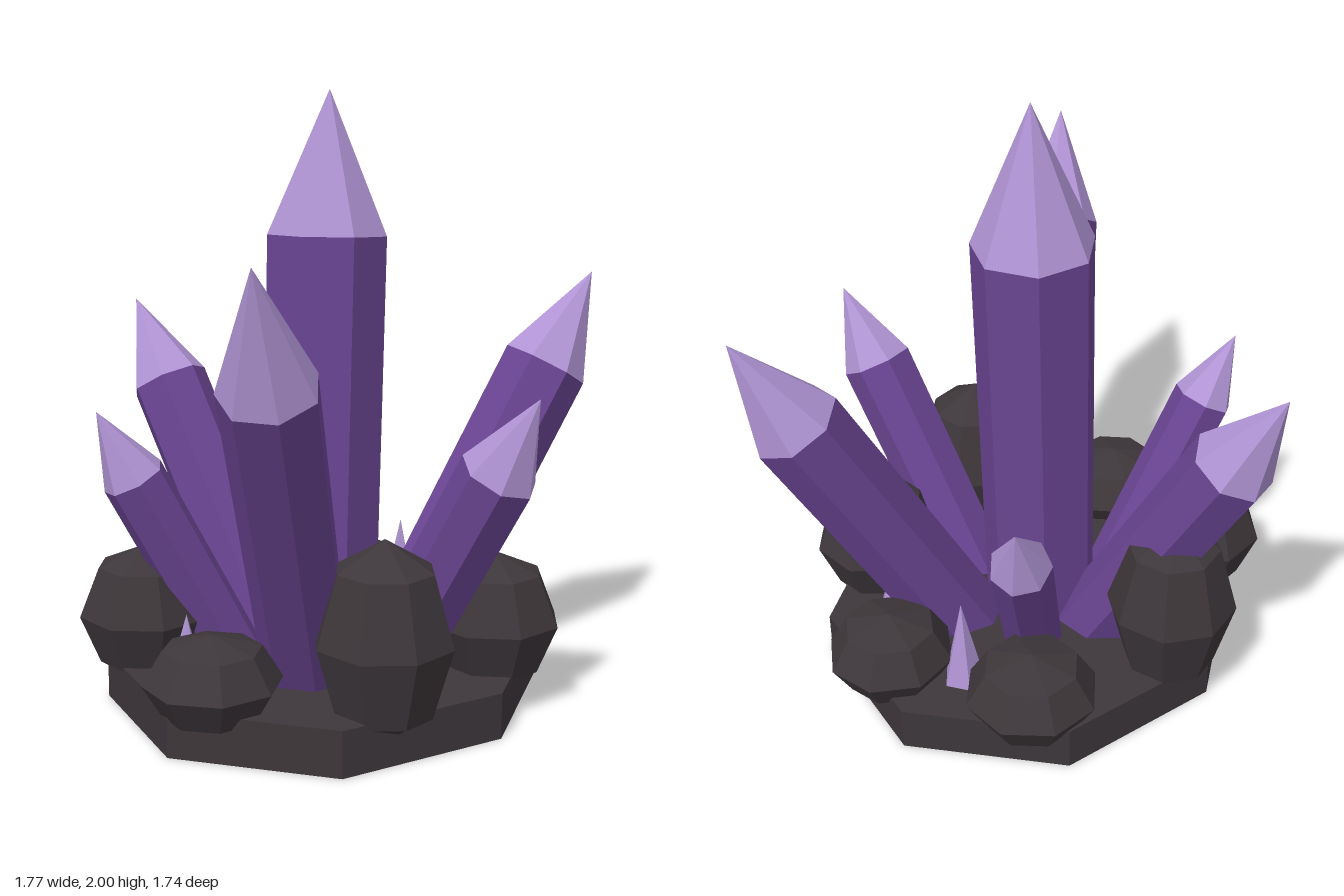
import * as THREE from 'three';

export function createModel() {
  const mat = (name, color) => {
    const m = new THREE.MeshStandardMaterial({ color, flatShading: true });
    m.name = name;
    return m;
  };
  const stone = mat('darkStone', 0x3d363a);
  const purple = mat('deepPurple', 0x6a4593);
  const lilac = mat('paleLilac', 0xb094d4);

  const model = new THREE.Group();
  model.name = 'crystalCluster';
  const UP = new THREE.Vector3(0, 1, 0);

  const add = (parent, name, geometry, material) => {
    const mesh = new THREE.Mesh(geometry, material);
    mesh.name = name;
    parent.add(mesh);
    return mesh;
  };

  // Eight-sided stone slab
  const slab = add(model, 'baseSlab', new THREE.CylinderGeometry(1, 1, 0.15, 8), stone);
  slab.scale.set(0.765, 1, 0.705);
  slab.position.set(0.045, 0.075, 0.045);

  // Boulders around the rim: x, y, z, width radius, height radius, turn
  const boulders = [
    [-0.265, 0.355, 0.52, 0.222, 0.32, 0.3],
    [0.268, 0.297, 0.565, 0.225, 0.228, 0.2],
    [0.652, 0.217, 0.21, 0.212, 0.149, 0.35],
    [0.552, 0.217, -0.285, 0.22, 0.149, 0.15],
    [0.09, 0.375, -0.53, 0.215, 0.325, 0.4],
    [-0.402, 0.297, -0.36, 0.225, 0.228, 0.25],
    [-0.575, 0.217, 0.1, 0.22, 0.149, 0.1],
  ];
  for (const [x, y, z, r, h, turn] of boulders) {
    const rock = add(model, 'boulder', new THREE.SphereGeometry(1, 8, 4), stone);
    rock.position.set(x, y, z);
    rock.scale.set(r, h, r);
    rock.rotation.y = turn;
  }

  // Crystal from root to tip: seven-sided shaft with a pointed cap
  function crystal(name, root, tip, radius, turn = 0) {
    const a = new THREE.Vector3(...root);
    const axis = new THREE.Vector3(...tip).sub(a);
    const length = axis.length();
    const cap = length * 0.247;
    const shaft = length - cap;
    const group = new THREE.Group();
    group.name = name;
    group.position.copy(a);
    group.quaternion.setFromUnitVectors(UP, axis.normalize());
    const body = add(group, 'crystalShaft',
      new THREE.CylinderGeometry(radius, radius * 0.97, shaft, 7), purple);
    body.position.y = shaft / 2;
    const point = add(group, 'crystalPoint', new THREE.ConeGeometry(radius, cap, 7, 1, true), lilac);
    point.position.y = shaft + cap / 2;
    body.rotation.y = point.rotation.y = turn;
    model.add(group);
  }
  crystal('centralCrystal', [0.04, 0.1, 0.02], [0.115, 2, 0], 0.2, Math.PI);
  crystal('frontRightCrystal', [-0.18, 0.1, 0.16], [-0.89, 1.535, 0.55], 0.15, 0.2);
  crystal('frontLeftCrystal', [0.28, 0.1, 0.18], [0.88, 1.385, 0.554], 0.15, 0.4);
  crystal('frontCrystal', [0.035, 0.1, 0.31], [0.02, 1.1, 0.87], 0.124, 0);
  crystal('backCrystal', [0.055, 0.1, -0.2], [0.065, 1.257, -0.867], 0.138, 0);
  crystal('backRightCrystal', [-0.2, 0.1, -0.12], [-0.6, 1, -0.365], 0.105, 0.3);
  crystal('backLeftCrystal', [0.25, 0.1, -0.09], [0.65, 0.9, -0.3], 0.1, 0.1);

  // Small pale shards rising from the slab: x, z, height, radius
  for (const [x, z, h, r] of [[0.57, -0.025, 0.36, 0.08], [-0.46, -0.12, 0.25, 0.07], [0.4, 0.4, 0.22, 0.07]]) {
    const shard = add(model, 'shard', new THREE.ConeGeometry(r, h, 5), lilac);
    shard.position.set(x, 0.1 + h / 2, z);
  }
  return model;
}
